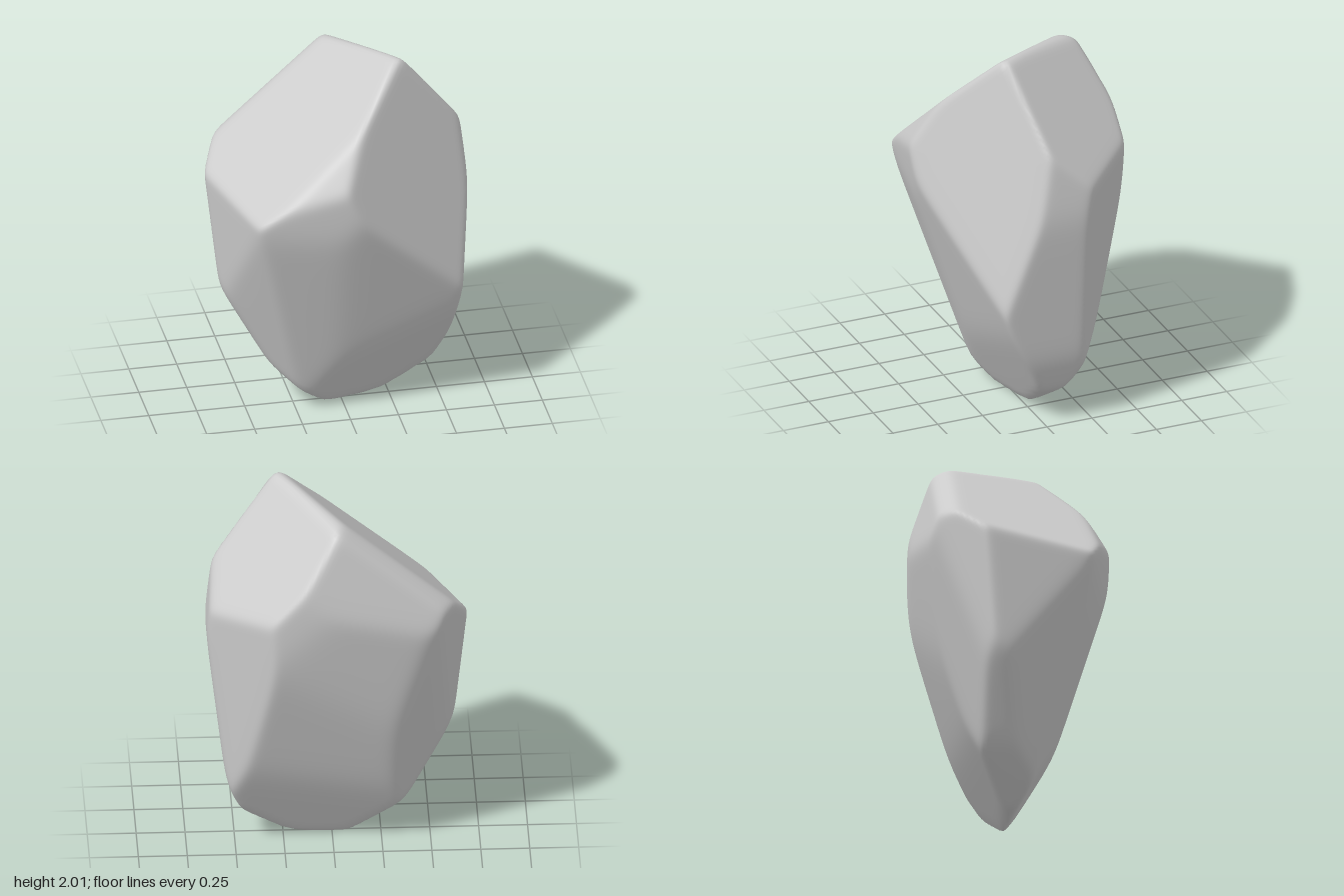
import * as THREE from 'three';
import { mergeVertices } from 'three/addons/utils/BufferGeometryUtils.js';

// Each facet is a cutting plane: nx x + ny y + nz z <= d
const FACETS = [
  // top: left slope, right back slope, crest, blunt peak
  [-0.83, 1, 0.4, 1.85],
  [1.05, 1, -0.82, 2.21],
  [0, 1, -0.2, 1.995],
  [0, 1, 0, 2.01],
  // bevels behind and in front of the left slope
  [-1.1, 1, -4, 3.495],
  [-0.87, 0.97, -0.64, 2.112],
  [-0.6, 1, 1.6, 2.32],
  // front: steep upper right, upper left, middle pair, lower
  [0.67, 0.25, 1, 0.84],
  [-0.15, -0.1, 1, 0.39],
  [0.115, -0.32, 1, 0.115],
  [-0.17, -0.33, 1, 0.127],
  [0.22, -0.57, 1, 0.03],
  // back: upright, upper, middle, lower
  [0, 0, -1, 0.515],
  [-0.15, -0.16, -1, 0.2725],
  [-0.05, -0.32, -1, 0.122],
  [0, -0.55, -1, 0.03],
  // left side: front pair, back pair, underside
  [-1, -0.481, 0.845, 0.294],
  [-1, -0.08, 0.32, 0.554],
  [-0.65, -0.32, -1, 0.303],
  [-1, -0.15, -0.6, 0.568],
  [-1, -0.55, 0, 0.25],
  // right side: back corner, wall below and above its widest level, underside
  [1, -0.1, -1, 0.7],
  [1, -0.12, 0, 0.505],
  [1, 0.1, 0, 0.775],
  [1, -0.4, 0, 0.4],
  // rounded foot
  [1, -1.4, 0, 0.22],
  [-1, -1.2, 0, 0.1],
  [0, -1, 0, 0.012],
].map(([x, y, z, d]) => {
  const normal = new THREE.Vector3(x, y, z);
  return { normal, offset: d / normal.length(), unit: normal.clone().normalize() };
});

// Signed measure of a point: below zero inside, with edges softly rounded
const SOFTNESS = 0.011;
function measure(p) {
  let sum = 0;
  for (const { unit, offset } of FACETS) sum += Math.exp((unit.dot(p) - offset) / SOFTNESS);
  return SOFTNESS * Math.log(sum);
}

export function createModel() {
  // a fine ball whose vertices move along their rays onto the faceted surface
  const ball = new THREE.IcosahedronGeometry(1, 50);
  ball.deleteAttribute('normal');
  ball.deleteAttribute('uv');
  const geometry = mergeVertices(ball);
  const position = geometry.attributes.position;
  const centre = new THREE.Vector3(0, 1.1, 0);
  const ray = new THREE.Vector3();
  const p = new THREE.Vector3();
  for (let i = 0; i < position.count; i++) {
    ray.fromBufferAttribute(position, i).normalize();
    let near = 0, far = 1.5;
    for (let step = 0; step < 22; step++) {
      const t = (near + far) / 2;
      if (measure(p.copy(centre).addScaledVector(ray, t)) < 0) near = t;
      else far = t;
    }
    position.setXYZ(i, p.x, p.y, p.z);
  }
  geometry.computeVertexNormals();

  const rock = new THREE.Mesh(geometry, new THREE.MeshStandardMaterial({ color: 0xcccccc }));
  rock.name = 'stone';
  const group = new THREE.Group();
  group.name = 'rock';
  group.add(rock);
  return group;
}
